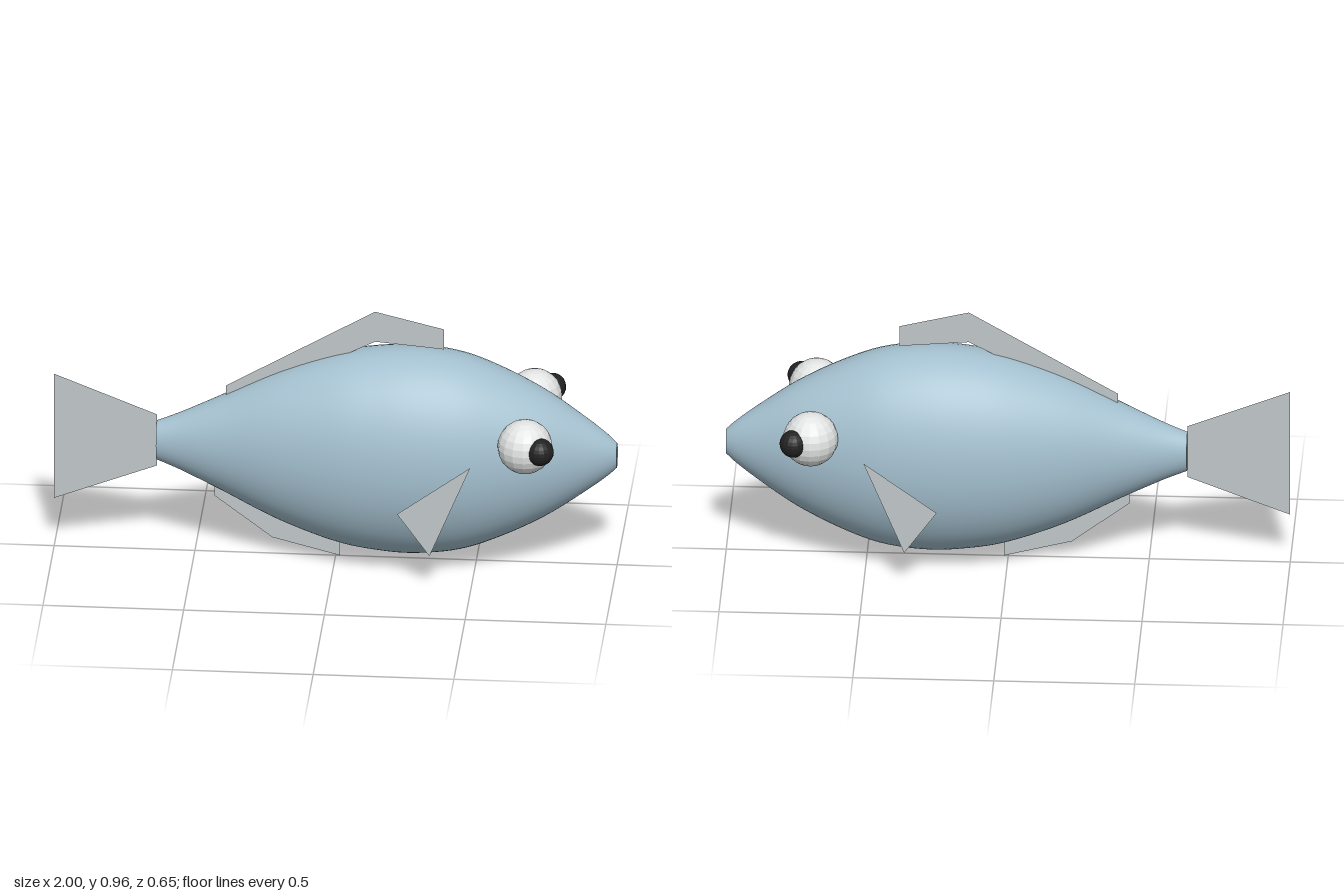
import * as THREE from 'three';

const bodyMat = new THREE.MeshStandardMaterial({ name: 'blueGreyBody', color: 0xa3bfce });
const finMat = new THREE.MeshStandardMaterial({ name: 'paleFin', color: 0xc0c7c8, side: THREE.DoubleSide });
const eyeMat = new THREE.MeshStandardMaterial({ name: 'eyeWhite', color: 0xe2e5e4 });
const pupilMat = new THREE.MeshStandardMaterial({ name: 'pupilBlack', color: 0x222222 });

const CENTRE_Y = 0.431;
const FLATTEN = 0.7; // body width relative to its height

// Body half-height along x, tail to mouth
const PROFILE = [
  [-0.635, 0.073], [-0.55, 0.108], [-0.4, 0.18], [-0.2, 0.28], [0, 0.353],
  [0.15, 0.381], [0.29, 0.388], [0.45, 0.367], [0.6, 0.311], [0.75, 0.233],
  [0.88, 0.144], [0.96, 0.083], [1, 0.046],
];

function add(group, name, geometry, material) {
  const mesh = new THREE.Mesh(geometry, material);
  mesh.name = name;
  group.add(mesh);
  return mesh;
}

// Thin fin sheet in the xy plane
function fin(group, name, points, z = 0) {
  const shape = new THREE.Shape(points.map(([x, y]) => new THREE.Vector2(x, y)));
  add(group, name, new THREE.ShapeGeometry(shape), finMat).position.z = z;
}

// Faceted ball
function ball(group, name, radius, material, x, y, z) {
  const geometry = new THREE.SphereGeometry(radius, 16, 12).toNonIndexed();
  geometry.computeVertexNormals();
  add(group, name, geometry, material).position.set(x, y, z);
}

export function createModel() {
  const fish = new THREE.Group();
  fish.name = 'fish';

  // Body: a lathe lying along x, flattened sideways
  const curve = new THREE.SplineCurve(PROFILE.map(([x, r]) => new THREE.Vector2(r, x)));
  const body = new THREE.LatheGeometry(curve.getPoints(60), 64);
  body.rotateZ(-Math.PI / 2).scale(1, 1, FLATTEN);
  add(fish, 'body', body, bodyMat).position.y = CENTRE_Y;

  // Flat ends of the body
  for (const [name, x, r, turn] of [['mouth', 1, 0.046, 1], ['tailEnd', -0.635, 0.073, -1]]) {
    const cap = new THREE.CircleGeometry(r, 32);
    cap.rotateY(turn * Math.PI / 2).scale(1, 1, FLATTEN);
    add(fish, name, cap, bodyMat).position.set(x, CENTRE_Y, 0);
  }

  // Fins on the centre line
  fin(fish, 'tailFin', [[-1, 0.19], [-0.635, 0.33], [-0.635, 0.53], [-1, 0.675]]);
  fin(fish, 'dorsalFin', [[-0.39, 0.57], [0.14, 0.843], [0.385, 0.822], [0.385, 0.9], [0.14, 0.96], [-0.39, 0.652]]);
  fin(fish, 'analFin', [[-0.43, 0.28], [-0.43, 0.22], [-0.225, 0.065], [0.015, 0.003], [0.015, 0.1], [-0.22, 0.18]]);

  // Paired fins, eyes and pupils
  for (const [label, s] of [['left', -1], ['right', 1]].map(([l, v]) => [l, v])) {
    fin(fish, label + 'PectoralFin', [[0.5, 0.49], [0.24, 0.3], [0.355, 0.14]], s * 0.274);
    ball(fish, label + 'Eye', 0.098, eyeMat, 0.69, 0.553, s * 0.214);
    ball(fish, label + 'Pupil', 0.049, pupilMat, 0.748, 0.562, s * 0.275);
  }
  return fish;
}
